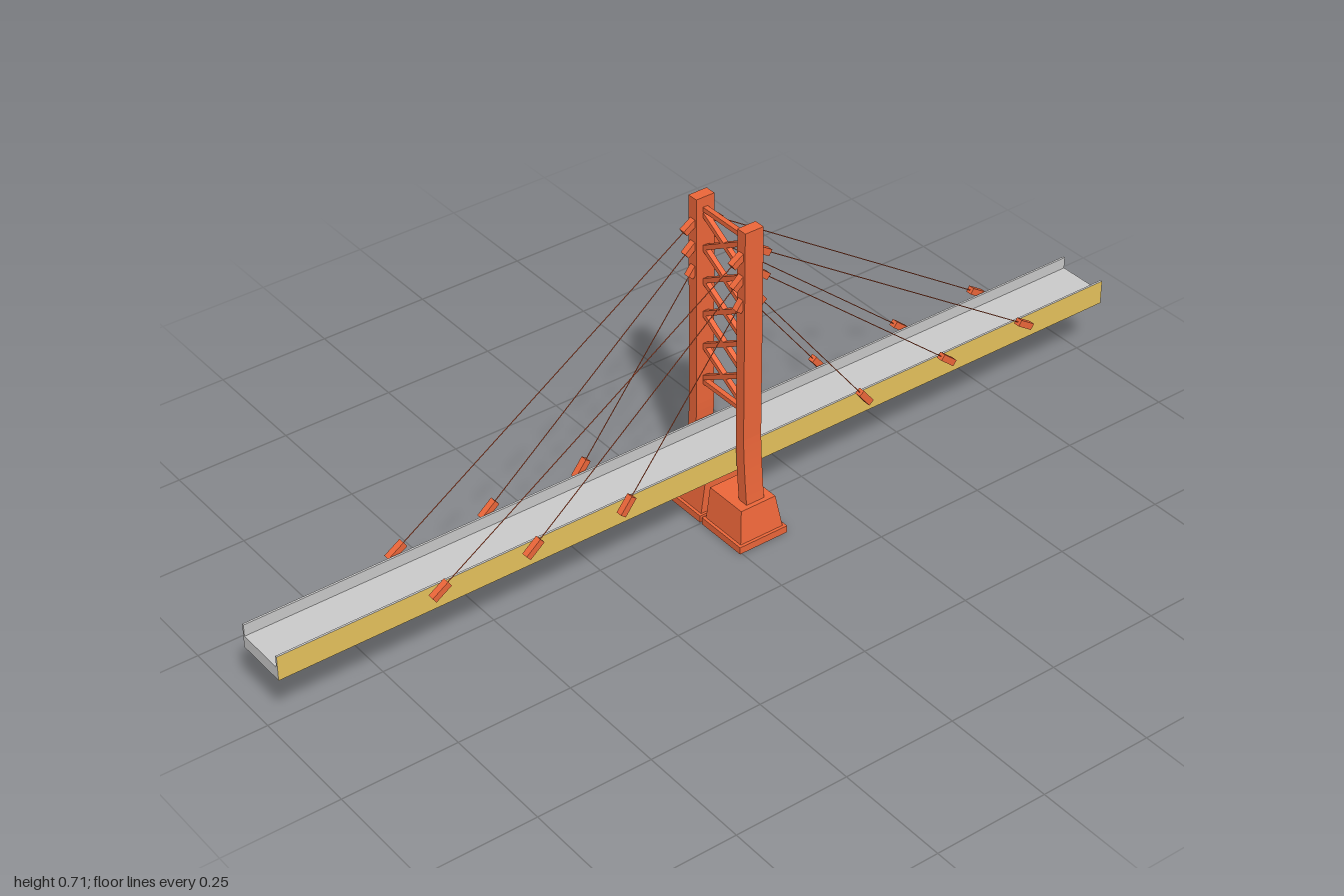
import * as THREE from 'three';

const ORANGE = new THREE.MeshStandardMaterial({ color: 0xee673a, flatShading: true });
const GOLD = new THREE.MeshStandardMaterial({ color: 0xe8c45e });
const GREY = new THREE.MeshStandardMaterial({ color: 0xcccccc, flatShading: true });
const TOWER_X = 0.054;

function add(parent, name, geometry, material) {
  const mesh = new THREE.Mesh(geometry, material);
  mesh.name = name;
  parent.add(mesh);
  return mesh;
}

// Extrudes a (z, y) outline along x, centred on x = 0
function extrudeX(shape, length) {
  return new THREE.ExtrudeGeometry(shape, { depth: length, bevelEnabled: false, curveSegments: 8 })
    .translate(0, 0, -length / 2)
    .rotateY(-Math.PI / 2);
}

// Trough-shaped deck with coloured outer sides
function buildDeck() {
  const deck = new THREE.Group();
  deck.name = 'deck';
  const w = 0.059, t = 0.0045, y0 = 0.146, y1 = 0.174, y2 = 0.2;
  const profile = new THREE.Shape([
    [-w, y0], [w, y0], [w, y2], [w - t, y2], [w - t, y1], [-w + t, y1], [-w + t, y2], [-w, y2],
  ].map(([z, y]) => new THREE.Vector2(z, y)));
  add(deck, 'roadway', extrudeX(profile, 2), GREY);
  for (const s of [1, -1]) {
    const side = add(deck, 'sidePanel', new THREE.PlaneGeometry(2, y2 - y0), GOLD);
    side.position.set(0, (y0 + y2) / 2, s * (w + 0.0005));
    if (s < 0) side.rotation.y = Math.PI;
  }
  deck.position.z = -0.001;
  return deck;
}

// Footing with a base slab, tapered on every side but the inner one
function buildFooting(s) {
  const footing = new THREE.Group();
  footing.name = 'footing';
  const slab = add(footing, 'footingSlab', new THREE.BoxGeometry(0.117, 0.016, 0.1225), ORANGE);
  slab.position.set(0, 0.008, s * 0.06425);
  const block = new THREE.BoxGeometry(0.104, 0.07, 0.111).translate(0, 0.051, s * 0.0635);
  const p = block.attributes.position;
  for (let i = 0; i < p.count; i++) {
    if (p.getY(i) < 0.05) continue;
    p.setX(i, p.getX(i) * 0.81);
    if (s * p.getZ(i) > 0.06) p.setZ(i, s * 0.1075);
  }
  block.computeVertexNormals();
  add(footing, 'footingBlock', block, ORANGE);
  return footing;
}

// Leg, straight above and flaring outwards to the footing
function buildLeg(s) {
  const shape = new THREE.Shape();
  shape.moveTo(s * 0.0625, 0.706);
  shape.lineTo(s * 0.0625, 0.235);
  shape.quadraticCurveTo(s * 0.0635, 0.17, s * 0.0735, 0.084);
  shape.lineTo(s * 0.098, 0.084);
  shape.quadraticCurveTo(s * 0.0885, 0.17, s * 0.0865, 0.235);
  shape.lineTo(s * 0.0865, 0.706);
  return extrudeX(shape, 0.043);
}

// Bar between two (y, z) points in the plane of the tower
function addBrace(parent, name, y1, z1, y2, z2) {
  const bar = add(parent, name, new THREE.BoxGeometry(0.011, 0.01, Math.hypot(y2 - y1, z2 - z1)), ORANGE);
  bar.position.set(0, (y1 + y2) / 2, (z1 + z2) / 2);
  bar.rotation.x = -Math.atan2(y2 - y1, z2 - z1);
}

function buildTower() {
  const tower = new THREE.Group();
  tower.name = 'tower';
  for (const s of [1, -1]) {
    tower.add(buildFooting(s));
    add(tower, 'leg', buildLeg(s), ORANGE);
  }
  const z = 0.064;
  addBrace(tower, 'topBeam', 0.679, -z, 0.679, z);
  addBrace(tower, 'bottomBeam', 0.2835, -z, 0.2835, z);
  for (let i = 0; i < 5; i++) {
    const y = 0.2925 + i * 0.075;
    addBrace(tower, 'crossBrace', y, -z, y + 0.075, z);
    addBrace(tower, 'crossBrace', y, z, y + 0.075, -z);
  }
  return tower;
}

// Stay cables with a box anchor at each end, mirrored along and across the deck
function buildStays() {
  const stays = new THREE.Group();
  stays.name = 'stays';
  const rows = [ // tower offset, tower height, deck offset
    [0.026, 0.648, 0.715],
    [0.024, 0.598, 0.507],
    [0.018, 0.549, 0.292],
  ];
  for (const [x1, y1, x2] of rows) for (const sx of [1, -1]) for (const sz of [1, -1]) {
    const top = new THREE.Vector3(sx * x1, y1, sz * 0.074);
    const bottom = new THREE.Vector3(sx * x2, 0.197, sz * 0.074);
    const dir = bottom.clone().sub(top);
    const angle = Math.atan2(dir.y, dir.x);
    const cable = add(stays, 'cable', new THREE.CylinderGeometry(0.001, 0.001, dir.length(), 6), ORANGE);
    cable.position.copy(top).lerp(bottom, 0.5);
    cable.rotation.z = angle - Math.PI / 2;
    for (const [name, point] of [['towerAnchor', top], ['deckAnchor', bottom]]) {
      const anchor = add(stays, name, new THREE.BoxGeometry(0.042, 0.014, 0.014), ORANGE);
      anchor.position.copy(point);
      anchor.rotation.z = angle;
    }
  }
  return stays;
}

export function createModel() {
  const model = new THREE.Group();
  model.name = 'cableStayedBridge';
  const tower = buildTower();
  const stays = buildStays();
  tower.position.x = stays.position.x = TOWER_X;
  model.add(buildDeck(), tower, stays);
  return model;
}
